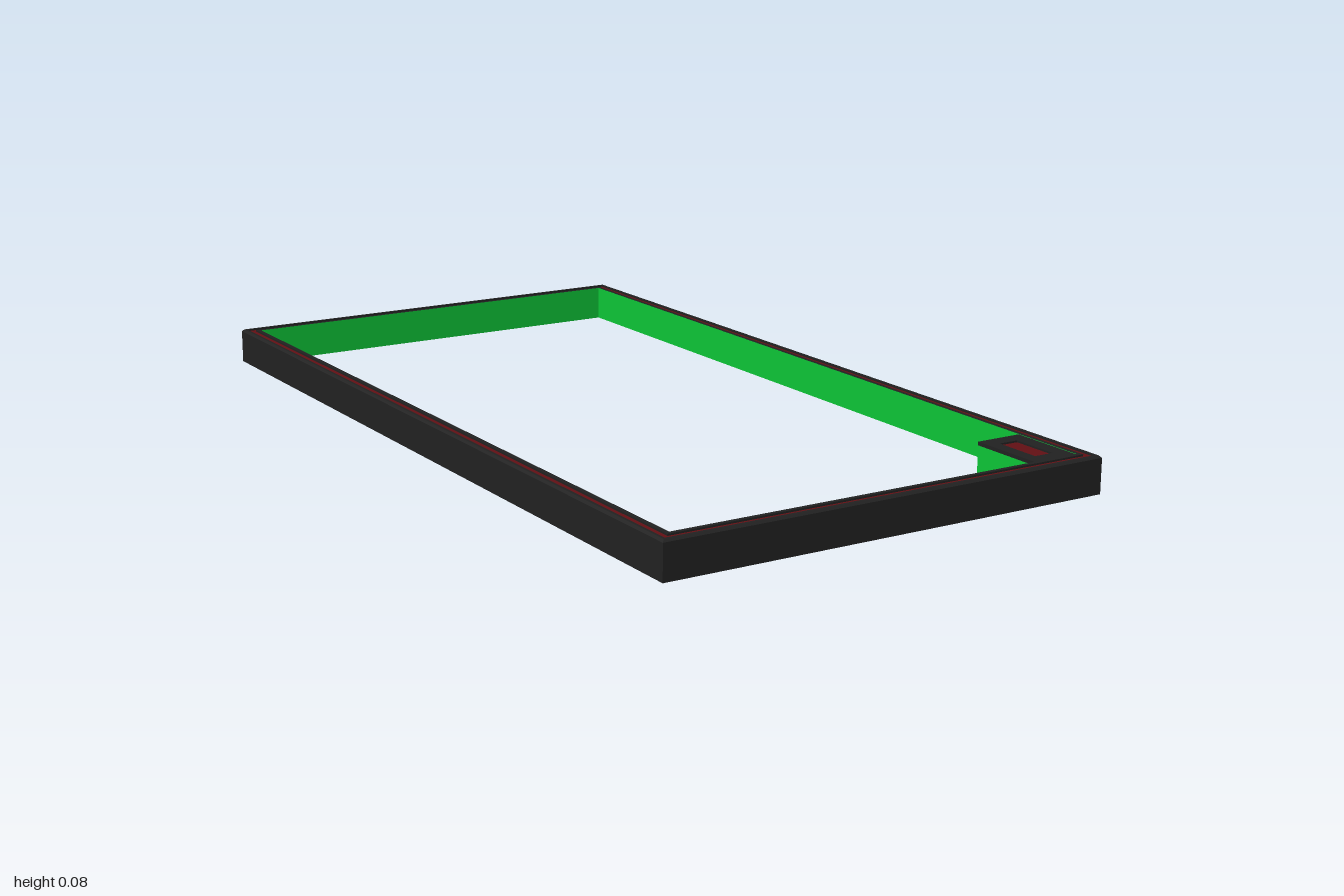
import * as THREE from 'three';

const HX = 0.533, HZ = 1, TOP = 0.083, RIM = 0.037;

const mat = (color) => new THREE.MeshStandardMaterial({ color, flatShading: true, side: THREE.DoubleSide });

// Sweeps a profile of [inset, height] points around the rectangular outline.
function ring(profile) {
  const corners = [[1, 1], [1, -1], [-1, -1], [-1, 1]];
  const at = ([inset, y], k) => {
    const [sx, sz] = corners[k % 4];
    return [sx * (HX - inset), y, sz * (HZ - inset)];
  };
  const pos = [];
  for (let i = 0; i < profile.length - 1; i++) {
    for (let k = 0; k < 4; k++) {
      const a = at(profile[i], k), b = at(profile[i], k + 1);
      const c = at(profile[i + 1], k + 1), d = at(profile[i + 1], k);
      pos.push(...a, ...b, ...c, ...a, ...c, ...d);
    }
  }
  const g = new THREE.BufferGeometry();
  g.setAttribute('position', new THREE.Float32BufferAttribute(pos, 3));
  g.computeVertexNormals();
  return g;
}

export function createModel() {
  const group = new THREE.Group();
  const dark = mat(0x222222), red = mat(0x641014), green = mat(0x0ec838);

  const add = (name, geometry, material, parent = group) => {
    const mesh = new THREE.Mesh(geometry, material);
    mesh.name = name;
    parent.add(mesh);
    return mesh;
  };
  // Box given by its min and max corners.
  const block = (name, min, max, material, parent) => {
    const size = max.map((v, i) => v - min[i]);
    add(name, new THREE.BoxGeometry(...size), material, parent)
      .position.set(...min.map((v, i) => v + size[i] / 2));
  };

  // Rectangular frame: outer wall with chamfer, grooved top, inner lining, underside
  const g0 = 0.011, g1 = 0.027, floor = TOP - 0.004;
  add('outerWall', ring([[0, 0], [0, TOP - 0.005], [0.005, TOP], [g0, TOP], [g0, floor]]), dark);
  add('grooveStrip', ring([[g0, floor], [g1, floor]]), red);
  add('innerRim', ring([[g1, floor], [g1, TOP], [RIM, TOP]]), dark);
  add('innerLining', ring([[RIM, TOP], [RIM, 0]]), green);
  add('underside', ring([[RIM, 0], [0, 0]]), dark);

  // Corner housing: top plate with a sunken panel, hollow and open below
  const housing = new THREE.Group();
  housing.name = 'cornerHousing';
  group.add(housing);
  const x0 = 0.386, x1 = HX - RIM, z0 = 0.783, z1 = HZ - RIM;
  const px0 = 0.415, px1 = 0.462, pz0 = 0.818, pz1 = 0.929;
  const rect = (Path, ax, az, bx, bz) => new Path([
    new THREE.Vector2(ax, az), new THREE.Vector2(bx, az),
    new THREE.Vector2(bx, bz), new THREE.Vector2(ax, bz),
  ]);
  const plate = rect(THREE.Shape, x0, z0, x1, z1);
  plate.holes.push(rect(THREE.Path, px0, pz0, px1, pz1));
  const plateGeometry = new THREE.ExtrudeGeometry(plate, { depth: 0.008, bevelEnabled: false });
  plateGeometry.rotateX(Math.PI / 2);
  add('topPlate', plateGeometry, dark, housing).position.y = TOP - 0.001;
  block('sunkenPanel', [px0, TOP - 0.009, pz0], [px1, TOP - 0.005, pz1], red, housing);
  block('sideWall', [x0, 0, z0], [x0 + 0.004, TOP - 0.009, z1], green, housing);
  block('openingLip', [x0, TOP - 0.022, z0], [x1, TOP - 0.009, z0 + 0.004], green, housing);

  return group;
}
